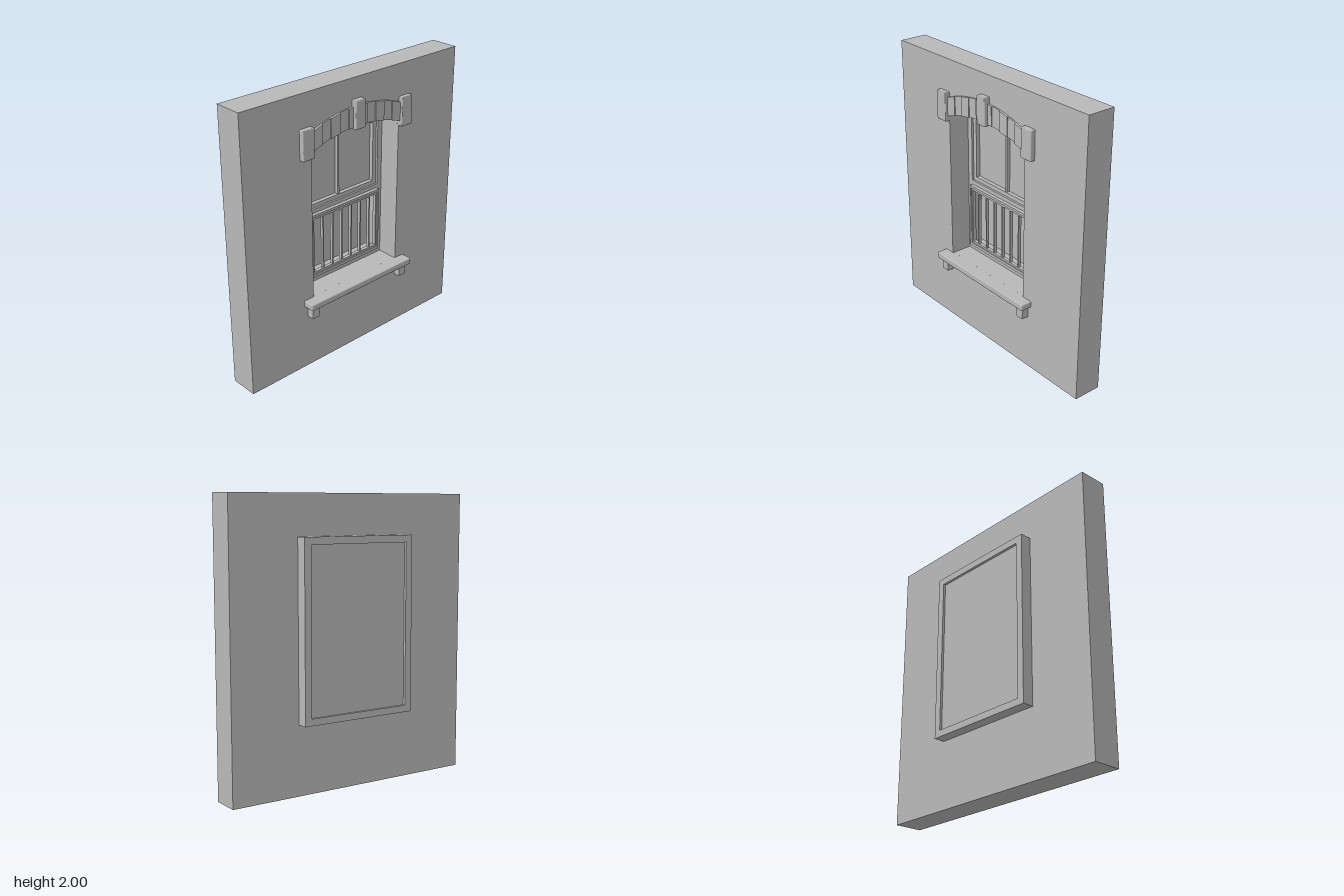
import * as THREE from 'three';
import { RoundedBoxGeometry } from 'three/addons/geometries/RoundedBoxGeometry.js';

const stone = new THREE.MeshStandardMaterial({ color: 0xb8b8b8 });
stone.name = 'grey stone';

const WALL_FRONT = 0.102, WALL_BACK = -0.102;

// Outline with a shallow curved top; equal side and crown heights give a rectangle.
function outline(halfWidth, bottom, side, crown = side, Type = THREE.Shape) {
  const s = new Type();
  s.moveTo(-halfWidth, bottom);
  s.lineTo(halfWidth, bottom);
  s.lineTo(halfWidth, side);
  if (crown > side) s.quadraticCurveTo(0, 2 * crown - side, -halfWidth, side);
  else s.lineTo(-halfWidth, side);
  s.closePath();
  return s;
}
const hole = (...dims) => outline(dims[0], dims[1], dims[2], dims[3], THREE.Path);

export function createModel() {
  const model = new THREE.Group();
  model.name = 'archedWindowWall';

  function add(name, geometry, parent = model) {
    const mesh = new THREE.Mesh(geometry, stone);
    mesh.name = name;
    parent.add(mesh);
    return mesh;
  }
  // Plate between two depths, with optional openings
  function plate(name, shape, holes, zBack, zFront, parent) {
    shape.holes.push(...holes);
    const g = new THREE.ExtrudeGeometry(shape, {
      depth: zFront - zBack, bevelEnabled: false, curveSegments: 20,
    });
    g.translate(0, 0, zBack);
    return add(name, g, parent);
  }
  // Box given by its limits, optionally with softened edges
  function block(name, x0, x1, y0, y1, z0, z1, radius = 0, parent) {
    const size = [x1 - x0, y1 - y0, z1 - z0];
    const g = radius ? new RoundedBoxGeometry(...size, 2, radius) : new THREE.BoxGeometry(...size);
    g.translate((x0 + x1) / 2, (y0 + y1) / 2, (z0 + z1) / 2);
    return add(name, g, parent);
  }

  // Wall with the arched opening
  plate('wall', outline(0.935, 0, 2), [hole(0.39, 0.53, 1.6, 1.67)], WALL_BACK, WALL_FRONT);

  // Casing projecting behind the wall, and its shallow back panel
  plate('backCasing', outline(0.436, 0.487, 1.72), [hole(0.385, 0.535, 1.67)], -0.183, WALL_BACK);
  block('backPanel', -0.387, 0.387, 0.533, 1.672, -0.165, -0.12);

  // Window frame deep in the opening
  const win = new THREE.Group();
  win.name = 'window';
  model.add(win);
  plate('windowFrame', outline(0.39, 0.53, 1.6, 1.67), [
    hole(0.35, 1.085, 1.575, 1.632),
    hole(0.33, 0.595, 1.04),
  ], -0.122, -0.055, win);

  // Upper sash, pane and glazing bar
  plate('upperSash', outline(0.35, 1.085, 1.575, 1.632),
    [hole(0.318, 1.115, 1.55, 1.602)], -0.12, -0.07, win);
  plate('upperPane', outline(0.32, 1.113, 1.552, 1.604), [], -0.12, -0.1, win);
  block('upperGlazingBar', -0.008, 0.008, 1.115, 1.602, -0.1, -0.075, 0, win);

  // Lower guard: stepped surround and upright bars in front of the pane
  plate('guardSurround', outline(0.345, 0.575, 1.055), [hole(0.33, 0.597, 1.037)], -0.055, -0.028, win);
  plate('guardInnerRim', outline(0.33, 0.597, 1.037), [hole(0.32, 0.612, 1.018)], -0.062, -0.036, win);
  for (let i = -3; i <= 3; i++) {
    const x = i * 0.087, w = i === 0 ? 0.008 : 0.005;
    block('guardBar', x - w, x + w, 0.61, 1.02, -0.06, -0.038, 0, win);
  }

  // Sill and its two brackets
  block('sill', -0.472, 0.472, 0.485, 0.532, 0.09, 0.183, 0.008);
  for (const s of [-1, 1]) {
    const cx = s * 0.415;
    block('sillBracket', cx - 0.03, cx + 0.03, 0.4, 0.488, 0.095, 0.153);
  }

  // Arch stones, alternately proud and set back
  const lower = x => 1.67 - 0.46 * x * x;
  const upper = x => 1.81 - 0.5 * x * x;
  const joints = [0.02, 0.08, 0.157, 0.235, 0.31, 0.39];
  for (const s of [-1, 1]) {
    for (let i = 0; i < joints.length - 1; i++) {
      const a = joints[i], b = joints[i + 1];
      const pts = [];
      for (let k = 0; k <= 4; k++) {
        const x = a + (b - a) * k / 4;
        pts.push(new THREE.Vector2(s * x, lower(x)));
      }
      for (let k = 4; k >= 0; k--) {
        const x = a + (b - a) * k / 4;
        pts.push(new THREE.Vector2(s * x, upper(x)));
      }
      plate('archStone', new THREE.Shape(pts), [], 0.095, i % 2 ? 0.112 : 0.119);
    }
    // Springer block at each end of the arch
    const cx = s * 0.435;
    block('springerBlock', cx - 0.048, cx + 0.048, 1.562, 1.77, 0.09, 0.137, 0.006);
  }
  block('keystone', -0.042, 0.042, 1.657, 1.855, 0.09, 0.144, 0.006);

  return model;
}
